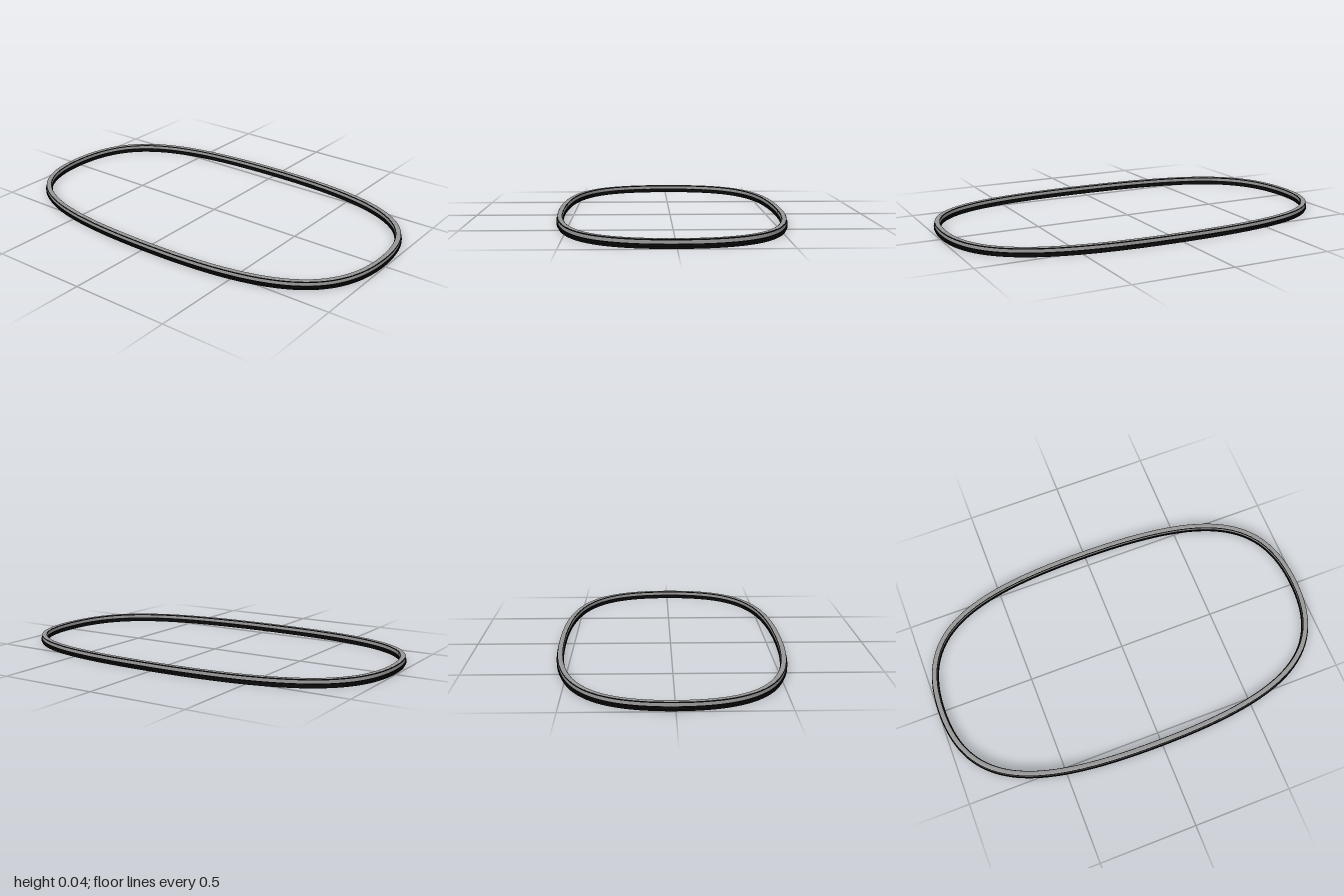
import * as THREE from 'three';
import { toCreasedNormals } from 'three/addons/utils/BufferGeometryUtils.js';

const A = 0.9825, B = 0.5565; // half axes of the centre line
const HX = A * 0.7, HZ = B * 0.76; // handle lengths that set its roundness
const SEGMENTS = 160;

// Rounded oval centre line, one curve per quarter
const oval = new THREE.Path()
  .moveTo(A, 0)
  .bezierCurveTo(A, HZ, HX, B, 0, B)
  .bezierCurveTo(-HX, B, -A, HZ, -A, 0)
  .bezierCurveTo(-A, -HZ, -HX, -B, 0, -B)
  .bezierCurveTo(HX, -B, A, -HZ, A, 0);

// Sweep a closed [offset, y] section (counter-clockwise) around the oval
function sweep(section) {
  const positions = [], indices = [], m = section.length;
  for (let i = 0; i < SEGMENTS; i++) {
    const p = oval.getPoint(i / SEGMENTS), t = oval.getTangent(i / SEGMENTS);
    for (const [offset, y] of section) {
      positions.push(p.x + t.y * offset, y, p.y - t.x * offset);
    }
    const next = (i + 1) % SEGMENTS;
    for (let j = 0; j < m; j++) {
      const k = (j + 1) % m;
      const a = i * m + j, b = next * m + j, c = next * m + k, d = i * m + k;
      indices.push(a, d, c, a, c, b);
    }
  }
  const geometry = new THREE.BufferGeometry();
  geometry.setAttribute('position', new THREE.Float32BufferAttribute(positions, 3));
  geometry.setIndex(indices);
  return toCreasedNormals(geometry, 0.6);
}

// Complete a section from its outer half, listed bottom to top
const mirrored = (half) => [...half, ...half.map(([o, y]) => [-o, y]).reverse()];

export function createModel() {
  const group = new THREE.Group();
  const grey = new THREE.MeshStandardMaterial({ color: 0x999999 });
  const black = new THREE.MeshStandardMaterial({ color: 0x0a0a0a });

  const parts = [
    // Dark seal with a thin lip on both sides
    ['baseSeal', black, [[0.0125, 0], [0.0125, 0.01], [0.0175, 0.01], [0.0175, 0.02], [0.0125, 0.02], [0.0125, 0.022]]],
    // Grey band above the seal
    ['frameBand', grey, [[0.0125, 0.022], [0.0125, 0.036]]],
    // Dark edge along the upper rim
    ['rimTrim', black, [[0.0125, 0.036], [0.0125, 0.04], [0.0115, 0.041]]],
    // Grey strip on top, inset from the rim
    ['topStrip', grey, [[0.0105, 0.04], [0.0105, 0.0415], [0.0095, 0.042]]],
  ];
  for (const [name, material, half] of parts) {
    const mesh = new THREE.Mesh(sweep(mirrored(half)), material);
    mesh.name = name;
    group.add(mesh);
  }
  return group;
}
